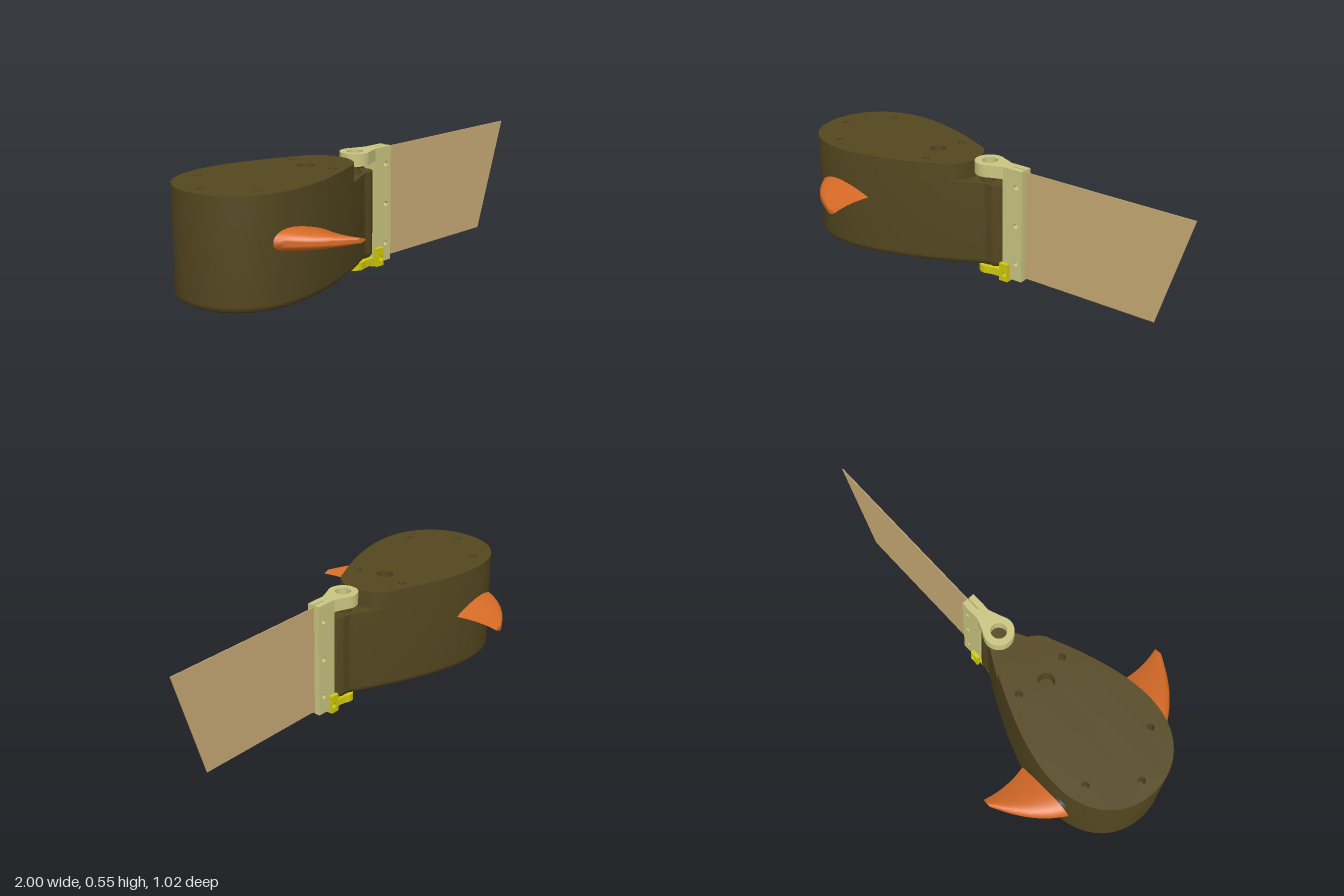
import * as THREE from 'three';
import { toCreasedNormals } from 'three/addons/utils/BufferGeometryUtils.js';

const mat = (name, color) => {
  const m = new THREE.MeshStandardMaterial({ color });
  m.name = name;
  return m;
};

// Thickness rule of a symmetric aerofoil, u from 0 (nose) to 1 (tail), peak about 0.5
const foil = (u) =>
  5 * (0.2969 * Math.sqrt(u) - 0.126 * u - 0.3516 * u ** 2 + 0.2843 * u ** 3 - 0.1036 * u ** 4);

// Closed loft through equal rings, with fan caps
function loft(rings, crease = 0.6) {
  const n = rings[0].length, pos = [], idx = [];
  rings.forEach((r) => r.forEach((p) => pos.push(...p)));
  for (let i = 0; i < rings.length - 1; i++)
    for (let j = 0; j < n; j++) {
      const a = i * n + j, b = i * n + ((j + 1) % n), c = b + n, d = a + n;
      idx.push(a, d, c, a, c, b);
    }
  [0, rings.length - 1].forEach((i) => {
    const centre = pos.length / 3;
    for (let k = 0; k < 3; k++) pos.push(rings[i].reduce((s, p) => s + p[k], 0) / n);
    for (let j = 0; j < n; j++) {
      const a = i * n + j, b = i * n + ((j + 1) % n);
      if (i === 0) idx.push(centre, a, b);
      else idx.push(centre, b, a);
    }
  });
  const g = new THREE.BufferGeometry();
  g.setAttribute('position', new THREE.Float32BufferAttribute(pos, 3));
  g.setIndex(idx);
  return toCreasedNormals(g, crease);
}

const shapeOf = (pts) => new THREE.Shape(pts.map(([x, y]) => new THREE.Vector2(x, y)));

function addHoles(shape, holes) {
  holes.forEach(([x, y, r]) => {
    const h = new THREE.Path();
    h.absarc(x, y, r, 0, Math.PI * 2, true);
    shape.holes.push(h);
  });
  return shape;
}

function extrude(shape, depth) {
  const g = new THREE.ExtrudeGeometry(shape, { depth, bevelEnabled: false, curveSegments: 16 });
  return toCreasedNormals(g, 0.6);
}

// Plan shape (x, z) raised from y0 to y1
const slab = (shape, y0, y1) => extrude(shape, y1 - y0).rotateX(-Math.PI / 2).translate(0, y0, 0);

// Hinge arm plan: round eye narrowing to a straight bar
function armShape(cx, r, hole, neckX, w, endX) {
  const s = new THREE.Shape();
  const a = 1.0;
  s.moveTo(endX, -w);
  s.lineTo(endX, w);
  s.lineTo(neckX, w);
  s.lineTo(cx + r * Math.cos(a), r * Math.sin(a));
  s.absarc(cx, 0, r, a, Math.PI * 2 - a, false);
  s.lineTo(neckX, -w);
  s.closePath();
  return addHoles(s, [[cx, 0, hole]]);
}

export function createModel() {
  const group = new THREE.Group();
  const olive = mat('olive brown', 0x554820);
  const orange = mat('orange', 0xd66a26);
  const pale = mat('pale khaki', 0xcbc782);
  const yellow = mat('yellow', 0xd2cc0c);
  const tan = mat('tan', 0xcaac76);
  const grey = mat('dark grey', 0x505254);

  const add = (name, geometry, material, parent = group) => {
    const m = new THREE.Mesh(geometry, material);
    m.name = name;
    parent.add(m);
    return m;
  };
  const box = (x0, x1, y0, y1, z0, z1) =>
    new THREE.BoxGeometry(x1 - x0, y1 - y0, z1 - z0)
      .translate((x0 + x1) / 2, (y0 + y1) / 2, (z0 + z1) / 2);
  const post = (x, r, y0, y1) =>
    new THREE.CylinderGeometry(r, r, y1 - y0, 32).translate(x, (y0 + y1) / 2, 0);

  // Teardrop outline with a rounded tail
  const N = 56;
  const half = (x) => {
    const round = Math.sqrt(Math.max(0, 0.05 ** 2 - (x + 0.01) ** 2));
    return Math.max(0.555 * foil((x + 1) / 1.04), x > -0.03 ? round : 0);
  };
  const outline = [];
  for (let i = 0; i < 2 * N; i++) {
    const x = -0.48 + 0.52 * Math.cos((i / N) * Math.PI);
    const z = i % N === 0 ? 0 : half(x) * (i < N ? 1 : -1);
    outline.push([x, z]);
  }
  const inset = (d) => outline.map(([x, z], i) => {
    const p = outline[(i + 2 * N - 1) % (2 * N)], q = outline[(i + 1) % (2 * N)];
    const tx = q[0] - p[0], tz = q[1] - p[1], l = Math.hypot(tx, tz);
    return [x - (d * tz) / l, z + (d * tx) / l];
  });

  // Hull with rounded bottom edge
  const rings = [];
  for (let i = 0; i <= 6; i++) {
    const a = (i / 6) * (Math.PI / 2);
    const y = 0.077 - 0.03 * Math.cos(a);
    rings.push(inset(0.03 * (1 - Math.sin(a))).map(([x, z]) => [x, y, z]));
  }
  rings.push(outline.map(([x, z]) => [x, 0.45, z]));
  add('hull', loft(rings), olive);

  // Raised deck, ending in an arc before the hinge, with screw holes
  const deck = [];
  for (let i = 0; i <= 24; i++) {
    const a = (-54 + (108 * i) / 24) * (Math.PI / 180);
    deck.push([-0.3 + 0.17 * Math.cos(a), 0.17 * Math.sin(a)]);
  }
  deck.push(...outline.filter(([x]) => x < -0.205));
  const holes = [[-0.93, 0, 0.017], [-0.35, 0, 0.038]];
  for (const s of [1, -1]) holes.push([-0.79, 0.187 * s, 0.017], [-0.315, 0.125 * s, 0.017]);
  add('deck', slab(addHoles(shapeOf(deck), holes), 0.45, 0.53), olive);

  // Side fins on short shafts
  const lead = new THREE.CatmullRomCurve3(
    [[-0.812, 0.29], [-0.77, 0.35], [-0.717, 0.406], [-0.65, 0.458], [-0.562, 0.51]]
      .map(([x, z]) => new THREE.Vector3(x, 0, z)));
  const finRings = [];
  for (let i = 0; i <= 12; i++) {
    const t = i / 12, p = lead.getPoint(t), ring = [];
    const v = (p.z - 0.29) / 0.22;
    const tail = -0.525 - 0.035 * v * (1 - v) * 1.6 + 0.005 * v;
    const thick = 0.047 - 0.022 * v - 0.014 * v * v;
    for (let j = 0; j < 40; j++) {
      const a = (j / 40) * Math.PI * 2;
      const u = (1 + Math.cos(a)) / 2;
      const y = j % 20 === 0 ? 0 : thick * 2 * foil(u) * (j < 20 ? -1 : 1);
      ring.push([p.x + (tail - p.x) * u, y, p.z]);
    }
    finRings.push(ring);
  }
  const finGeometry = loft(finRings);
  const shaft = new THREE.CylinderGeometry(0.031, 0.031, 0.06, 24)
    .rotateX(Math.PI / 2).translate(-0.745, 0, 0.265);
  ['left', 'right'].forEach((side, i) => {
    const fin = new THREE.Group();
    fin.name = side + 'SideFin';
    fin.position.y = 0.338;
    fin.rotation.x = i * Math.PI;
    add('finBlade', finGeometry, orange, fin);
    add('finShaft', shaft, grey, fin);
    group.add(fin);
  });

  // Tail blade
  const bolts = [0.095, 0.28, 0.465].map((y) => [0.118, y, 0.012]);
  const blade = addHoles(shapeOf([[0.08, 0.022], [0.828, 0.022], [1, 0.535], [0.08, 0.535]]), bolts);
  add('tailBlade', extrude(blade, 0.004).translate(0, 0, -0.002), tan);

  // Clamp holding the blade between two cheeks
  const cheek = () => addHoles(
    shapeOf([[0.045, 0.012], [0.15, 0.012], [0.15, 0.545], [0.045, 0.545]]), bolts);
  for (const z of [0.004, -0.032])
    add('clampCheek', extrude(cheek(), 0.028).translate(0, 0, z), pale);
  add('clampSpine', box(0.046, 0.085, 0.0125, 0.5445, -0.006, 0.006), pale);

  // Upper hinge
  add('upperHingeArm', slab(armShape(-0.05, 0.068, 0.036, 0.05, 0.032, 0.046), 0.488, 0.545), pale);
  add('upperHingePin', post(-0.06, 0.026, 0.45, 0.515), olive);
  add('upperHingeCollar', post(-0.06, 0.034, 0.45, 0.46), olive);

  // Lower hinge with cheeks bolted to the clamp
  add('lowerHingeArm', slab(armShape(-0.055, 0.045, 0.022, 0.0, 0.032, 0.044), 0.006, 0.04), yellow);
  add('lowerHingePin', post(-0.055, 0.021, 0.012, 0.05), grey);
  for (const z of [0.032, -0.05]) {
    const s = addHoles(
      shapeOf([[0.04, 0], [0.085, 0], [0.085, 0.085], [0.04, 0.085]]), [[0.069, 0.035, 0.012]]);
    add('lowerHingeCheek', extrude(s, 0.018).translate(0, 0, z), yellow);
  }
  add('lowerHingeFoot', box(0.03, 0.085, 0, 0.012, -0.032, 0.032), yellow);

  return group;
}
